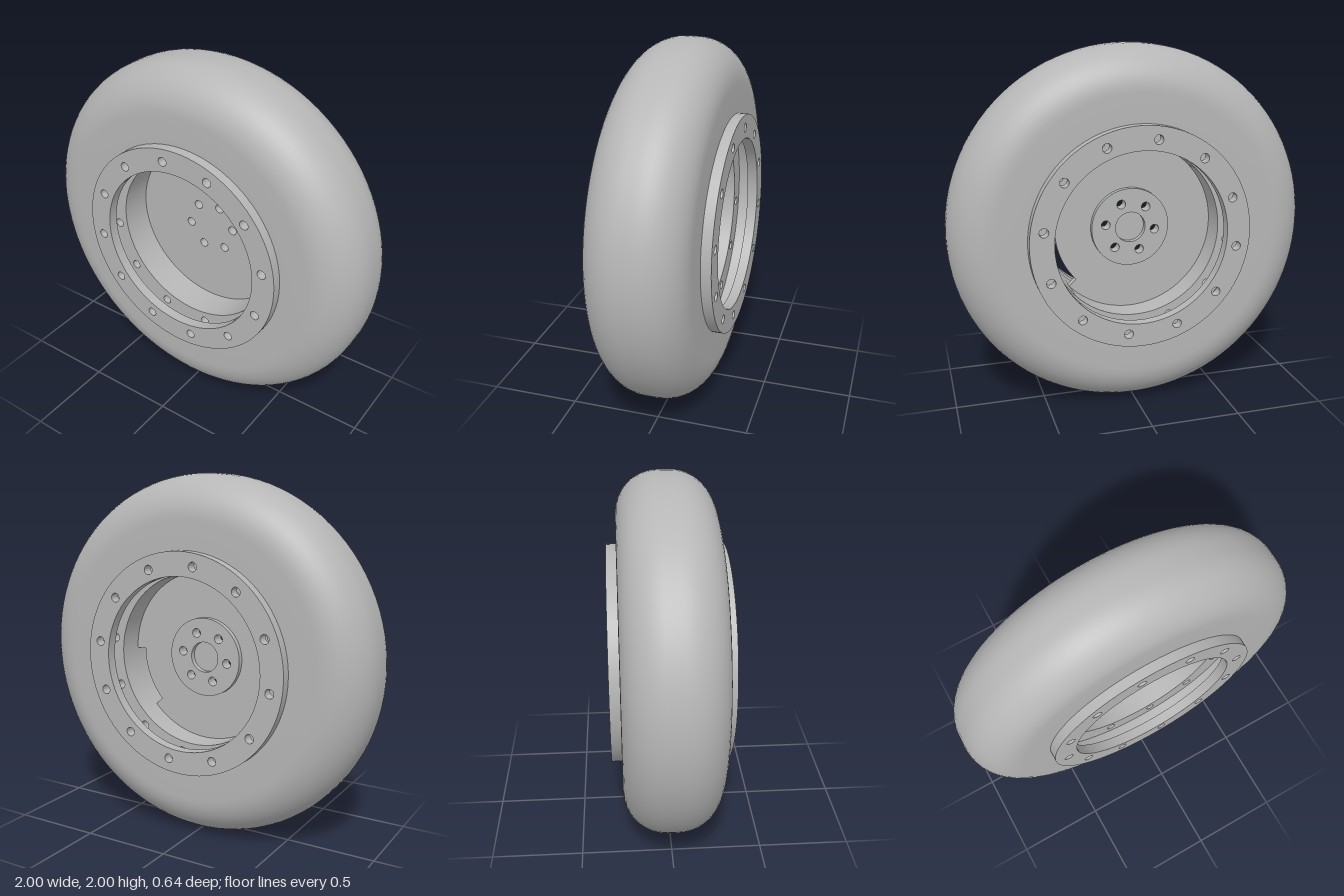
import * as THREE from 'three';
import { toCreasedNormals } from 'three/addons/utils/BufferGeometryUtils.js';

const BOLT_PHASE = THREE.MathUtils.degToRad(8.6);

// Bolt holes evenly spaced on a circle; indices in skip are left out
function boltHoles(count, radius, skip = []) {
  const holes = [];
  for (let i = 0; i < count; i++) {
    if (skip.includes(i)) continue;
    const a = BOLT_PHASE + (i / count) * Math.PI * 2;
    const p = new THREE.Path();
    p.absarc(radius * Math.cos(a), radius * Math.sin(a), 0.025, 0, Math.PI * 2, true);
    holes.push(p);
  }
  return holes;
}

function circleHole(radius) {
  const p = new THREE.Path();
  p.absarc(0, 0, radius, 0, Math.PI * 2, true);
  return p;
}

// Round plate with holes, from z0 to z1
function plate(name, radius, z0, z1, holes, material) {
  const shape = new THREE.Shape();
  shape.absarc(0, 0, radius, 0, Math.PI * 2, false);
  shape.holes.push(...holes);
  const geo = new THREE.ExtrudeGeometry(shape, { depth: z1 - z0, bevelEnabled: false, curveSegments: 48 });
  geo.translate(0, 0, z0);
  const mesh = new THREE.Mesh(toCreasedNormals(geo, 0.6), material);
  mesh.name = name;
  return mesh;
}

export function createModel() {
  const grey = new THREE.MeshStandardMaterial({ color: 0xb6b6b6 });
  grey.name = 'grey';
  const wheel = new THREE.Group();
  wheel.name = 'wheel';

  // Tyre: rounded section turned about the axle
  const W = 0.265, R = 0.235, INNER = 0.605;
  const profile = [new THREE.Vector2(INNER, -W)];
  for (const [side, start] of [[-1, -Math.PI / 2], [1, 0]]) {
    for (let i = 0; i <= 12; i++) {
      const a = start + (i / 12) * Math.PI / 2;
      profile.push(new THREE.Vector2(1 - R + R * Math.cos(a), side * (W - R) + R * Math.sin(a)));
    }
  }
  profile.push(new THREE.Vector2(INNER, W), new THREE.Vector2(INNER, -W));
  const tyreGeo = new THREE.LatheGeometry(profile, 96);
  tyreGeo.rotateX(Math.PI / 2);
  const tyre = new THREE.Mesh(toCreasedNormals(tyreGeo, 0.6), grey);
  tyre.name = 'tyre';
  wheel.add(tyre);

  // Rim barrel, with one bolt hole left closed
  wheel.add(plate('rimBarrel', 0.606, -0.18, 0.18, [circleHole(0.475), ...boltHoles(12, 0.535, [5])], grey));

  // Clamp rings, standing clear of the barrel on both sides
  wheel.add(plate('frontClampRing', 0.606, 0.262, 0.32, [circleHole(0.475), ...boltHoles(12, 0.535)], grey));
  wheel.add(plate('backClampRing', 0.606, -0.32, -0.262, [circleHole(0.475), ...boltHoles(12, 0.535)], grey));

  // Centre disc with a curved slot at its edge
  const slot = new THREE.Path();
  const end = THREE.MathUtils.degToRad(-43);
  slot.absarc(0, 0, 0.475, 0, end, true);
  slot.absarc(0, 0, 0.42, end, 0, false);
  slot.closePath();
  wheel.add(plate('centreDisc', 0.482, -0.04, 0, [slot, ...boltHoles(6, 0.142)], grey));

  // Hub boss on the back of the disc, with a blind bore
  wheel.add(plate('hubBoss', 0.22, -0.07, -0.04, [circleHole(0.085), ...boltHoles(6, 0.142)], grey));

  wheel.position.y = 1;
  const model = new THREE.Group();
  model.name = 'model';
  model.add(wheel);
  return model;
}
